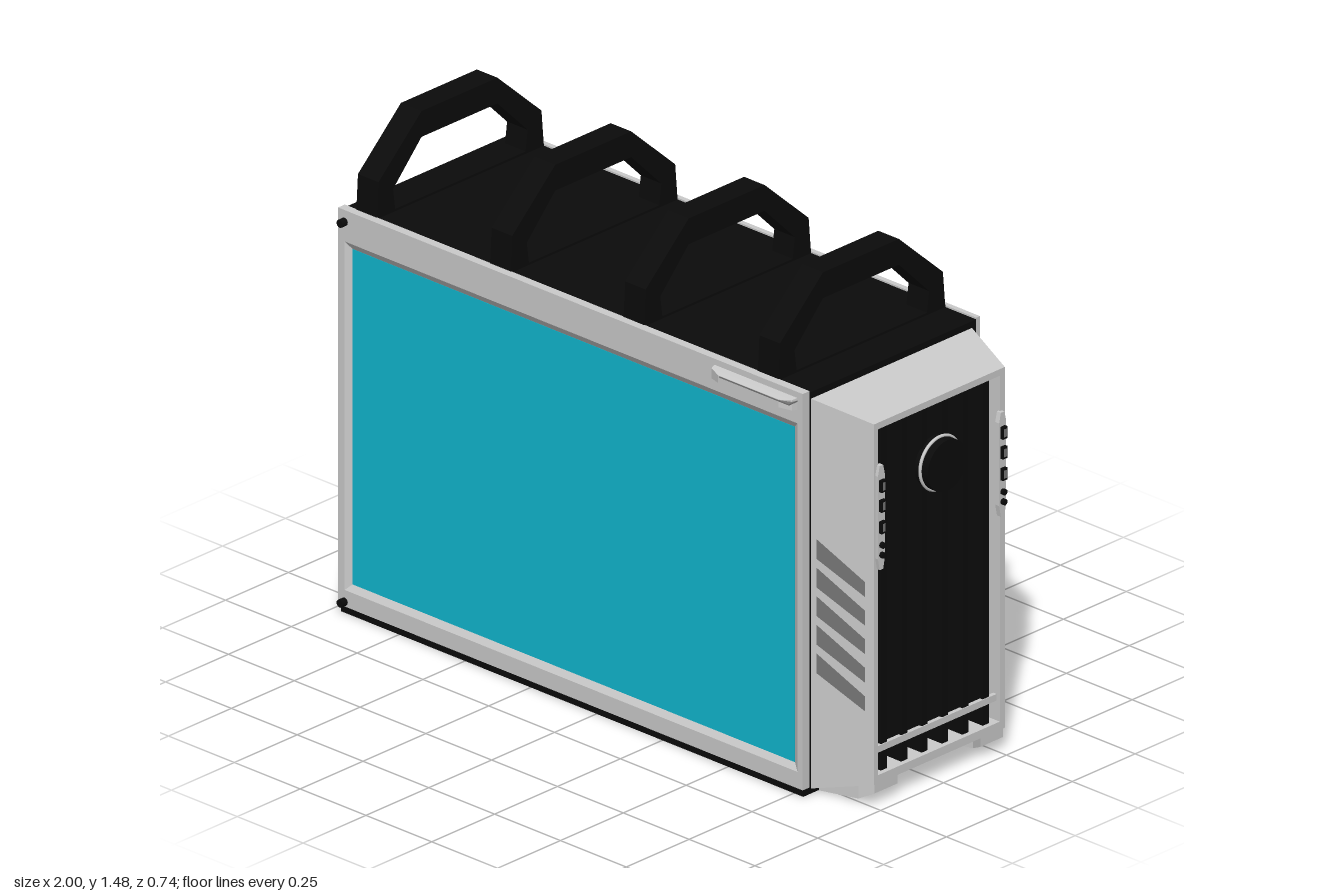
import * as THREE from 'three';

const mat = (color, opts = {}) => {
  const m = new THREE.MeshStandardMaterial(opts);
  m.color.set(color);
  return m;
};

// Rectangular loops: around the x axis and around the z axis
const rectX = (x, y0, y1, z0, z1) => [[x, y0, z0], [x, y1, z0], [x, y1, z1], [x, y0, z1]];
const rectZ = (z, x0, x1, y0, y1) => [[x0, y0, z], [x1, y0, z], [x1, y1, z], [x0, y1, z]];

// Faceted skin through a list of four-point loops, optionally closed at both ends
function loft(loops, caps = false) {
  const pos = [];
  const quad = (a, b, c, d) => pos.push(...a, ...b, ...c, ...a, ...c, ...d);
  for (let j = 0; j + 1 < loops.length; j++) {
    for (let i = 0; i < 4; i++) {
      const k = (i + 1) % 4;
      quad(loops[j][i], loops[j][k], loops[j + 1][k], loops[j + 1][i]);
    }
  }
  if (caps) {
    const first = loops[0], last = loops[loops.length - 1];
    quad(first[3], first[2], first[1], first[0]);
    quad(...last);
  }
  const g = new THREE.BufferGeometry();
  g.setAttribute('position', new THREE.Float32BufferAttribute(pos, 3));
  g.computeVertexNormals();
  return g;
}

// Outline given as [z, y] pairs, extruded from x0 to x1
function extrudeX(points, x0, x1) {
  const shape = new THREE.Shape(points.map(p => new THREE.Vector2(...p)));
  const g = new THREE.ExtrudeGeometry(shape, { depth: x1 - x0, bevelEnabled: false });
  return g.rotateY(-Math.PI / 2).translate(x1, 0, 0);
}

export function createModel() {
  const model = new THREE.Group();
  const grey = mat(0xcccccc);
  const black = mat(0x0b0b0b);
  const dark = mat(0x777777, { side: THREE.DoubleSide });
  const cyan = mat(0x10b8d0);

  const add = (name, geometry, material, parent = model) => {
    const mesh = new THREE.Mesh(geometry, material);
    mesh.name = name;
    parent.add(mesh);
    return mesh;
  };
  const box = (name, x0, x1, y0, y1, z0, z1, material, parent) => add(name,
    new THREE.BoxGeometry(x1 - x0, y1 - y0, z1 - z0)
      .translate((x0 + x1) / 2, (y0 + y1) / 2, (z0 + z1) / 2), material, parent);
  const group = name => {
    const g = new THREE.Group();
    g.name = name;
    model.add(g);
    return g;
  };

  // Case body, base and back side panel
  box('caseBody', -0.975, 0.785, 0.03, 1.225, -0.355, 0.31, black);
  box('base', -0.97, 0.785, 0.01, 0.03, -0.368, 0.333, black);
  box('backSidePanel', -0.98, 0.785, 0.03, 1.23, -0.37, -0.355, grey);

  // Window panel with a bevelled opening
  add('windowFrame', loft([
    rectZ(0.31, -0.98, 0.785, 0.03, 1.23),
    rectZ(0.335, -0.98, 0.785, 0.03, 1.23),
    rectZ(0.335, -0.955, 0.765, 0.08, 1.135),
    rectZ(0.324, -0.935, 0.745, 0.1, 1.115),
  ], false), grey);
  box('windowFrameBack', -0.98, 0.785, 0.03, 1.23, 0.308, 0.312, grey);
  box('window', -0.935, 0.745, 0.1, 1.115, 0.312, 0.325, cyan);

  // Panel latch
  add('latch', loft([
    rectZ(0.334, 0.45, 0.765, 1.175, 1.212),
    rectZ(0.352, 0.455, 0.76, 1.178, 1.209),
    rectZ(0.368, 0.495, 0.725, 1.182, 1.205),
  ], true), grey);
  box('latchGroove', 0.5, 0.765, 1.2, 1.204, 0.335, 0.369, dark);

  // Carry handles across the top
  const handles = group('handles');
  const arch = [
    [0.31, 1.22], [0.303, 1.335], [0.132, 1.493], [-0.17, 1.493], [-0.345, 1.335], [-0.355, 1.22],
    [-0.28, 1.22], [-0.29, 1.295], [-0.17, 1.415], [0.132, 1.415], [0.245, 1.295], [0.235, 1.22],
  ];
  for (const x of [-0.935, -0.427, 0.08, 0.59]) {
    add('handle', extrudeX(arch, x, x + 0.078), black, handles);
    box('handleFoot', x, x + 0.078, 1.22, 1.232, -0.355, 0.31, black, handles);
  }

  // Tapered end bezel with a deep opening
  const bezel = group('bezel');
  add('bezelShell', loft([
    rectX(0.785, 0.025, 1.205, -0.338, 0.302),
    rectX(0.97, 0.075, 1.167, -0.275, 0.245),
    rectX(0.97, 0.1, 1.147, -0.255, 0.23),
    rectX(0.79, 0.1, 1.147, -0.255, 0.23),
  ]), grey, bezel);
  box('grilleBack', 0.785, 0.845, 0.1, 1.147, -0.255, 0.23, black, bezel);
  for (let i = 0; i < 6; i++) {
    const z = 0.19 - i * 0.081;
    box('grilleFin', 0.84, 0.955, 0.1, 1.147, z - 0.012, z + 0.012, black, bezel);
  }
  box('grilleBar', 0.945, 0.958, 0.16, 0.18, -0.255, 0.23, grey, bezel);

  // Bezel feet
  for (const s of [1, -1]) {
    const span = (a, b) => (s > 0 ? [a, b] : [-b - 0.03, -a - 0.03]);
    add('bezelFoot', loft([
      rectX(0.79, 0.012, 0.05, ...span(0.16, 0.275)),
      rectX(0.92, 0.022, 0.07, ...span(0.17, 0.255)),
      rectX(0.968, 0.048, 0.09, ...span(0.15, 0.24)),
    ], true), grey, bezel);
  }

  // Slanted vents lying on both tapered side walls
  for (const s of [1, -1]) {
    for (let i = 0; i < 5; i++) {
      const d = i * 0.0865;
      const g = new THREE.ShapeGeometry(new THREE.Shape([
        [0.802, 0.785 - d], [0.802, 0.725 - d], [0.945, 0.64 - d + 0.035], [0.945, 0.685 - d + 0.035],
      ].map(p => new THREE.Vector2(p[0], p[1] - (p[0] > 0.9 ? 0.0 + 0.035 : 0)))));
      const p = g.attributes.position;
      for (let k = 0; k < p.count; k++) {
        const t = (p.getX(k) - 0.785) / 0.185;
        p.setZ(k, s > 0 ? 0.304 - 0.057 * t : -0.34 + 0.063 * t);
      }
      g.computeVertexNormals();
      add('sideVent', g, dark, bezel);
    }
  }

  // Round button in a pale ring
  const disc = (name, r, x0, x1, y, z, material, parent, n = 40) => add(name,
    new THREE.CylinderGeometry(r, r, x1 - x0, n).rotateZ(Math.PI / 2)
      .translate((x0 + x1) / 2, y, z), material, parent);
  const ring = new THREE.TorusGeometry(0.079, 0.005, 8, 48).rotateY(Math.PI / 2);
  add('buttonRing', ring.translate(0.972, 0.965, -0.015), grey, bezel);
  disc('roundButton', 0.077, 0.95, 1.0, 0.965, -0.015, black, bezel);

  // Port strips on the opening's two uprights
  for (const z of [0.226, -0.256]) {
    const strip = [[-0.007, 0.725], [0.007, 0.725], [0.014, 0.76], [0.014, 1.01],
      [0.007, 1.04], [-0.007, 1.04], [-0.014, 1.01], [-0.014, 0.76]];
    add('portStrip', extrudeX(strip.map(p => [p[0] + z, p[1]]), 0.965, 0.98), grey, bezel);
    for (const y of [0.98, 0.92, 0.855]) {
      box('port', 0.97, 0.99, y - 0.018, y + 0.018, z - 0.009, z + 0.009, black, bezel);
      box('portTongue', 0.97, 0.991, y - 0.012, y + 0.012, z - 0.005, z + 0.005, dark, bezel);
    }
    for (const y of [0.8, 0.77]) disc('jack', 0.009, 0.97, 0.99, y, z, black, bezel, 12);
  }

  // Rear face: screws and corner brackets
  const rear = group('rearFace');
  for (const y of [0.045, 1.195]) {
    disc('rearScrew', 0.013, -1.0, -0.97, y, -0.32, black, rear, 12);
    add('frontScrew', new THREE.CylinderGeometry(0.012, 0.012, 0.02, 12).rotateX(Math.PI / 2)
      .translate(-0.955, y, 0.345), black, rear);
    for (const z of [-0.335, 0.285]) {
      box('cornerBracket', -0.98, -0.97, y - 0.02, y + 0.02, z - 0.018, z + 0.018, grey, rear);
    }
  }

  // Rear expansion cards with dark sockets
  for (const y of [0.65, 0.54]) {
    box('cardBracket', -0.985, -0.97, y - 0.03, y + 0.03, -0.26, 0.04, grey, rear);
    for (let i = 0; i < 3; i++) {
      const z = -0.22 + i * 0.08;
      box('cardSocket', -0.988, -0.97, y - 0.012, y + 0.012, z - 0.025, z + 0.025, black, rear);
    }
  }

  // Rear port column
  for (let i = 0; i < 5; i++) {
    const y = 0.73 + i * 0.07;
    box('rearPort', -0.98, -0.97, y - 0.018, y + 0.018, -0.315, -0.285, dark, rear);
  }
  [0x2fa84f, 0x2f6fd0, 0xd8c040].forEach((c, i) =>
    disc('audioJack', 0.012, -0.982, -0.97, 0.65, -0.325 + i * 0.03, mat(c), rear, 12));

  // Rear fan: hub, swept blades and guard
  const fan = group('rearFan');
  fan.position.set(-0.976, 0.26, -0.03);
  disc('fanHub', 0.042, -0.006, 0.004, 0, 0, grey, fan, 24);
  for (let i = 0; i < 18; i++) {
    const blade = box('fanBlade', -0.003, 0.003, 0.05, 0.155, -0.005, 0.005, grey, fan);
    blade.rotation.x = (i / 18) * Math.PI * 2;
  }
  for (const r of [0.08, 0.12]) {
    add('fanGuard', new THREE.TorusGeometry(r, 0.004, 6, 40).rotateY(Math.PI / 2), black, fan);
  }
  return model;
}
